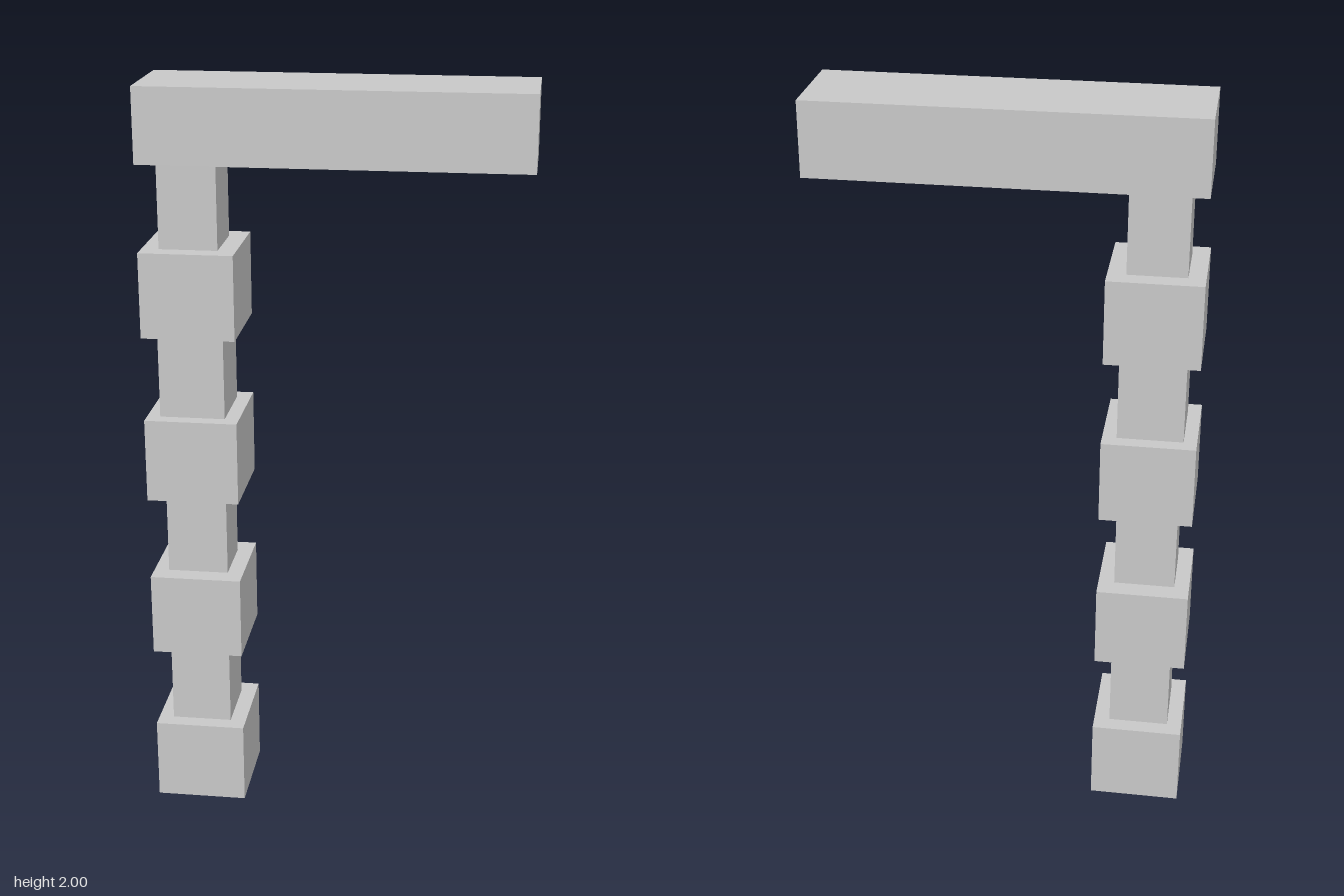
import * as THREE from 'three';

export function createModel() {
  const group = new THREE.Group();
  const material = new THREE.MeshStandardMaterial({ color: 0xcccccc, flatShading: true });

  // Box given by its lower and upper limits on each axis
  function addBox(name, [x0, x1], [y0, y1], [z0, z1]) {
    const mesh = new THREE.Mesh(new THREE.BoxGeometry(x1 - x0, y1 - y0, z1 - z0), material);
    mesh.position.set((x0 + x1) / 2, (y0 + y1) / 2, (z0 + z1) / 2);
    mesh.name = name;
    group.add(mesh);
  }

  const depth = [-0.132, 0.132];
  const step = 0.2257; // height of each course

  // Narrow stones, slightly irregular: x limits, z limits
  const necks = [
    [[-0.46, -0.297], [-0.087, 0.089]],
    [[-0.46, -0.297], [-0.077, 0.079]],
    [[-0.465, -0.292], [-0.092, 0.094]],
    [[-0.455, -0.302], [-0.082, 0.084]],
  ];

  // Column of alternating wide and narrow stones
  necks.forEach(([x, z], i) => {
    const y = 2 * i * step;
    addBox(`wideBlock${i + 1}`, [-0.5, -0.254], [y, y + step], depth);
    addBox(`narrowBlock${i + 1}`, x, [y + step, y + 2 * step], z);
  });

  // Beam reaching out from the column top
  addBox('topBeam', [-0.5, 0.5], [8 * step, 2], depth);

  return group;
}
